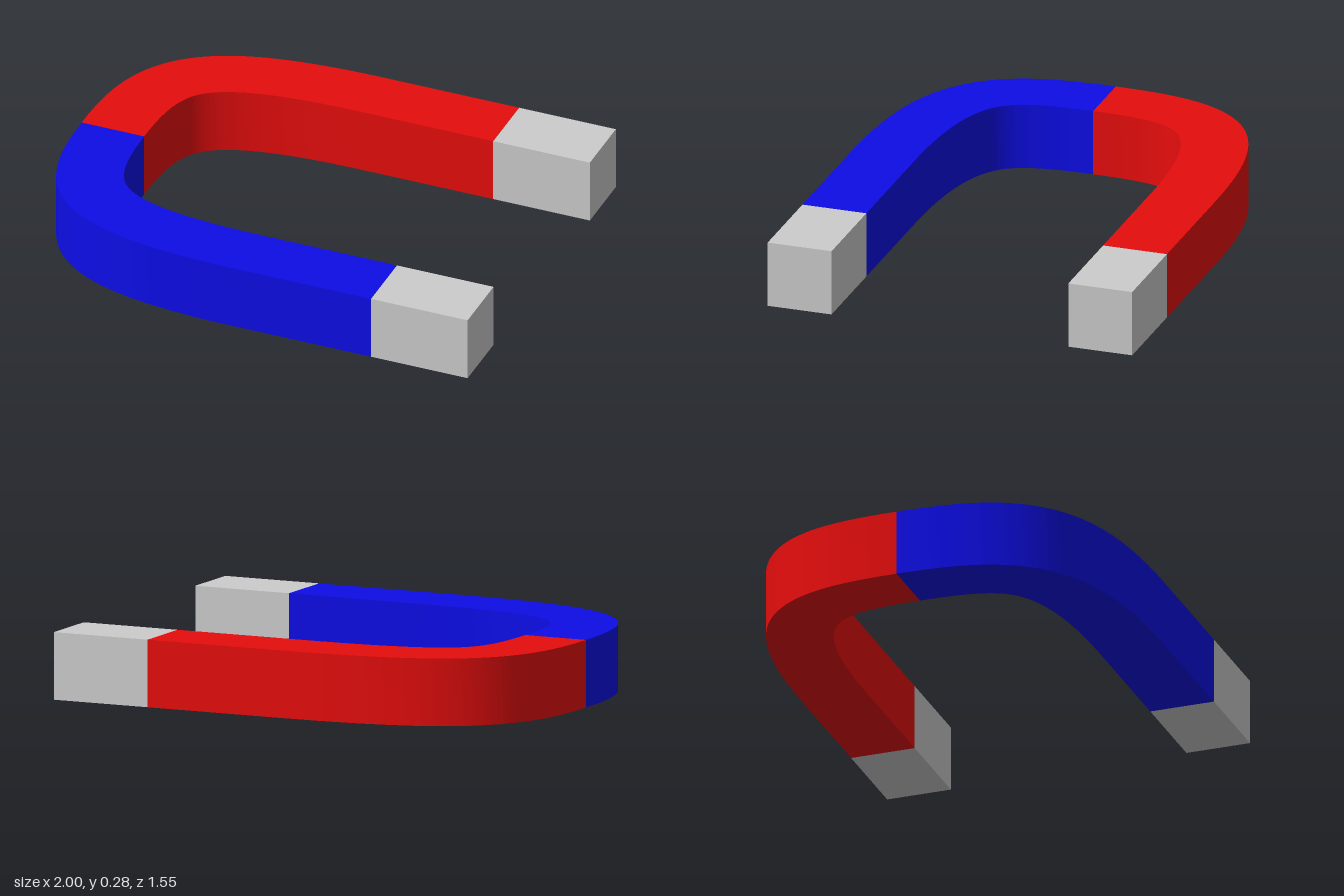
import * as THREE from 'three';
import { toCreasedNormals } from 'three/addons/utils/BufferGeometryUtils.js';

const HEIGHT = 0.275, HALF = 0.136, ARM = 0.64, TIP_START = 0.58;

// Half of the horseshoe bar: a curve offset to both sides, then a straight run
function armGeometry(side) {
  const bend = new THREE.CubicBezierCurve(
    new THREE.Vector2(-0.864, 0), new THREE.Vector2(-0.864, 0.44),
    new THREE.Vector2(-0.78, ARM), new THREE.Vector2(0, ARM));
  const outer = [], inner = [];
  const steps = 40;
  for (let i = 0; i <= steps; i++) {
    const p = bend.getPoint(i / steps), t = bend.getTangent(i / steps);
    const n = new THREE.Vector2(-t.y, t.x).multiplyScalar(HALF);
    outer.push(p.clone().add(n));
    inner.push(p.clone().sub(n));
  }
  outer.push(new THREE.Vector2(TIP_START, ARM + HALF));
  inner.push(new THREE.Vector2(TIP_START, ARM - HALF));
  const outline = [...outer, ...inner.reverse()];
  // shape y becomes -z once the extrusion is stood upright
  outline.forEach(p => { p.y *= -side; });
  const geometry = new THREE.ExtrudeGeometry(new THREE.Shape(outline), { depth: HEIGHT, bevelEnabled: false });
  geometry.rotateX(-Math.PI / 2);
  return toCreasedNormals(geometry, 0.5);
}

export function createModel() {
  const group = new THREE.Group();
  group.name = 'horseshoeMagnet';
  const steel = new THREE.MeshStandardMaterial({ color: 0xcccccc });

  for (const [side, prefix, color] of [[1, 'front', 0x0d0de6], [-1, 'back', 0xe60d0d]]) {
    // Painted arm
    const arm = new THREE.Mesh(armGeometry(side), new THREE.MeshStandardMaterial({ color }));
    arm.name = prefix + 'Arm';

    // Bare metal pole tip
    const length = 1 - TIP_START;
    const tip = new THREE.Mesh(new THREE.BoxGeometry(length, HEIGHT, HALF * 2), steel);
    tip.name = prefix + 'PoleTip';
    tip.position.set(TIP_START + length / 2, HEIGHT / 2, side * ARM);
    group.add(arm, tip);
  }
  return group;
}
